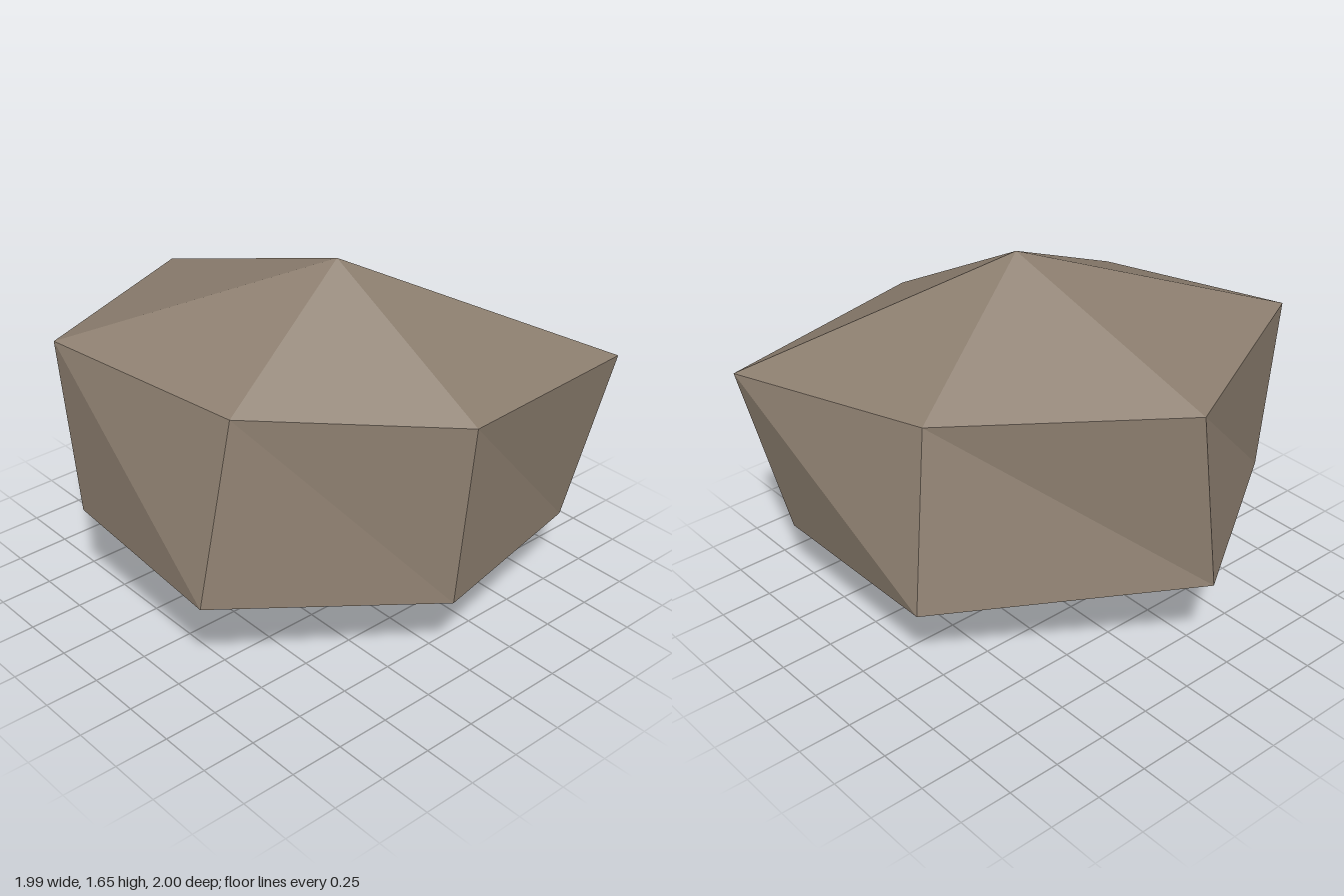
import * as THREE from 'three';

// A six-sided boulder: two uneven rings closed by a peak and a base point.
const peak = [0.15, 1.655, 0.02];
const upperRing = [
  [-0.95, 1.3, 0.07], [-0.52, 1.34, 1.0], [0.4, 1.28, 0.8],
  [0.99, 1.2, 0.02], [0.86, 1.13, -1.0], [-0.13, 1.19, -0.72],
];
const lowerRing = [
  [-1.0, 0.475, 0.13], [-0.48, 0.505, 0.95], [0.4, 0.46, 0.98],
  [0.96, 0.37, 0.08], [0.74, 0.32, -0.84], [-0.24, 0.37, -0.87],
];
const base = [0.07, 0, 0.13];

function boulderGeometry() {
  const points = [];
  const face = (...corners) => corners.forEach((c) => points.push(...c));
  const sides = upperRing.length;
  for (let i = 0; i < sides; i++) {
    const j = (i + 1) % sides;
    face(peak, upperRing[i], upperRing[j]); // crown
    face(upperRing[i], lowerRing[j], upperRing[j]); // wall
    face(upperRing[i], lowerRing[i], lowerRing[j]);
    face(base, lowerRing[j], lowerRing[i]); // underside
  }
  const geometry = new THREE.BufferGeometry();
  geometry.setAttribute('position', new THREE.Float32BufferAttribute(points, 3));
  geometry.computeVertexNormals();
  return geometry;
}

export function createModel() {
  const stone = new THREE.MeshStandardMaterial({ color: 0x8b7d6e, flatShading: true });
  stone.name = 'stone';

  const boulder = new THREE.Mesh(boulderGeometry(), stone);
  boulder.name = 'boulder';

  const group = new THREE.Group();
  group.name = 'rock';
  group.add(boulder);
  return group;
}
